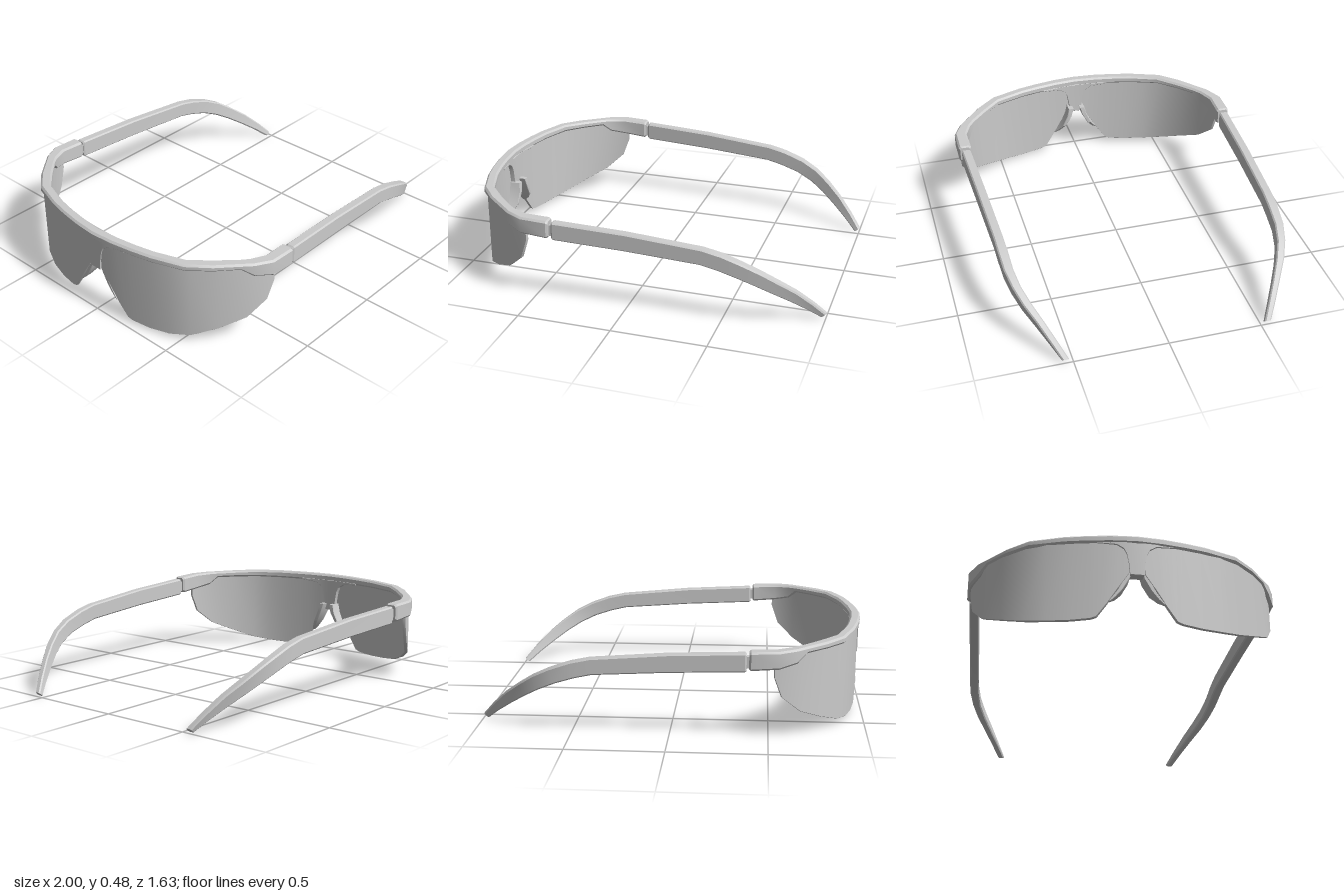
import * as THREE from 'three';
import { toCreasedNormals } from 'three/addons/utils/BufferGeometryUtils.js';

const grey = new THREE.MeshStandardMaterial({ color: 0xcccccc });

// Skin a list of equal-length closed rings and cap both ends, facing outwards.
function loft(name, rings, crease = 0.5) {
  const tris = [];
  const n = rings[0].length;
  for (let i = 0; i < rings.length - 1; i++) {
    const a = rings[i], b = rings[i + 1];
    for (let j = 0; j < n; j++) {
      const k = (j + 1) % n;
      tris.push([a[j], a[k], b[k]], [a[j], b[k], b[j]]);
    }
  }
  const cap = (ring, flip) => {
    const c = [0, 1, 2].map(d => ring.reduce((s, p) => s + p[d], 0) / n);
    ring.forEach((p, j) => {
      const q = ring[(j + 1) % n];
      tris.push(flip ? [c, q, p] : [c, p, q]);
    });
  };
  cap(rings[0], true);
  cap(rings[rings.length - 1], false);

  // Signed volume decides whether the winding must be reversed.
  const v = p => new THREE.Vector3(...p);
  const volume = tris.reduce((s, [a, b, c]) => s + v(a).dot(v(b).cross(v(c))), 0);
  if (volume < 0) tris.forEach(t => t.reverse());
  const geo = new THREE.BufferGeometry();
  geo.setAttribute('position', new THREE.Float32BufferAttribute(tris.flat(2), 3));
  const mesh = new THREE.Mesh(toCreasedNormals(geo, crease), grey);
  mesh.name = name;
  return mesh;
}

// Four corners in order, each cut back by a small bevel.
function bevelled(corners, cut) {
  const v = corners.map(c => new THREE.Vector3(...c));
  return v.flatMap((p, i) => [v[(i + 3) % 4], v[(i + 1) % 4]].map(q => {
    const d = q.clone().sub(p);
    return p.clone().addScaledVector(d, Math.min(0.45, cut / d.length())).toArray();
  }));
}

// Upright section between an outer and an inner plan point.
const upright = (xo, zo, xi, zi, top, bottom, cut) =>
  bevelled([[xo, top, zo], [xo, bottom, zo], [xi, bottom, zi], [xi, top, zi]], cut);

const mirrorStations = (list, flip) => [...list.slice(1).reverse().map(flip), ...list];

export function createModel() {
  const model = new THREE.Group();
  model.name = 'wraparoundGlasses';

  // Brow frame: outer x, z, inner x, z, top, bottom
  const brow = [
    [-1, 0, -0.945, 0, 0.48, 0.437],
    [-0.99, 0.13, -0.935, 0.125, 0.48, 0.437],
    [-0.97, 0.25, -0.917, 0.24, 0.479, 0.437],
    [-0.945, 0.36, -0.895, 0.34, 0.478, 0.437],
    [-0.885, 0.53, -0.838, 0.5, 0.475, 0.436],
    [-0.795, 0.635, -0.75, 0.595, 0.471, 0.435],
    [-0.69, 0.725, -0.66, 0.68, 0.467, 0.432],
    [-0.64, 0.768, -0.62, 0.71, 0.465, 0.39],
    [-0.55, 0.813, -0.54, 0.745, 0.461, 0.37],
    [-0.41, 0.813, -0.41, 0.742, 0.456, 0.36],
    [-0.4, 0.806, -0.4, 0.749, 0.45, 0.366],
  ];
  const browAll = mirrorStations(brow, ([a, b, c, d, t, u]) => [a, -b, c, -d, t, u]);
  model.add(loft('browFrame', browAll.map(s => upright(...s, 0.01))));

  // Bridge flaring down from the brow: z, bottom
  const bridge = [
    [0, 0.26], [0.035, 0.26], [0.04, 0.32], [0.05, 0.375],
    [0.065, 0.405], [0.1, 0.427], [0.2, 0.437],
  ];
  model.add(loft('bridge', mirrorStations(bridge, ([z, b]) => [-z, b]).map(([z, b]) => {
    const bend = 0.5 * z * z;
    return upright(-0.992 + bend, z, -0.942 + bend, z, 0.448, b, 0.003);
  })));

  // Lens: x, z, bottom, top
  const lens = [
    [-0.985, 0.04, 0.27, 0.445],
    [-0.981, 0.1, 0.18, 0.445],
    [-0.976, 0.15, 0.1, 0.445],
    [-0.968, 0.2, 0.03, 0.445],
    [-0.963, 0.23, 0.02, 0.445],
    [-0.942, 0.33, 0.013, 0.445],
    [-0.91, 0.44, 0.018, 0.445],
    [-0.862, 0.54, 0.034, 0.445],
    [-0.768, 0.647, 0.08, 0.445],
    [-0.66, 0.738, 0.135, 0.44],
    [-0.565, 0.785, 0.22, 0.4],
    [-0.527, 0.797, 0.325, 0.385],
  ];

  // Nose pad: inner z, outer z, y, back x
  const pad = [
    [0.02, 0.05, 0.3, -0.905],
    [0.035, 0.062, 0.25, -0.9],
    [0.07, 0.092, 0.185, -0.905],
    [0.105, 0.122, 0.14, -0.935],
    [0.13, 0.14, 0.115, -0.962],
  ];

  // Temple arm: top x, y, bottom x, y, outer z, inner z
  const arm = [
    [-0.388, 0.44, -0.388, 0.355, 0.795, 0.755],
    [-0.38, 0.446, -0.38, 0.35, 0.8, 0.75],
    [0, 0.43, 0, 0.335, 0.785, 0.735],
    [0.4, 0.396, 0.39, 0.31, 0.768, 0.718],
    [0.5, 0.374, 0.48, 0.29, 0.765, 0.713],
    [0.61, 0.335, 0.58, 0.258, 0.757, 0.708],
    [0.7, 0.29, 0.67, 0.217, 0.735, 0.69],
    [0.78, 0.235, 0.75, 0.17, 0.7, 0.655],
    [0.86, 0.172, 0.83, 0.115, 0.65, 0.61],
    [0.94, 0.092, 0.912, 0.054, 0.598, 0.56],
    [1, 0.022, 0.975, 0, 0.555, 0.52],
  ];

  for (const [side, s] of [['Left', 1], ['Right', -1]]) {
    model.add(loft('lens' + side, lens.map(([x, z, bottom, top]) => {
      const inward = new THREE.Vector2(-0.3 - x, -z).normalize().multiplyScalar(0.018);
      return upright(x, s * z, x + inward.x, s * (z + inward.y), top, bottom, 0.002);
    }), 0.6));

    model.add(loft('nosePad' + side, pad.map(([zi, zo, y, back]) => bevelled([
      [-0.98, y, s * zi], [-0.98, y, s * zo], [back, y, s * zo], [back, y, s * zi],
    ], 0.003))));

    model.add(loft('templeArm' + side, arm.map(([xt, yt, xb, yb, zo, zi]) => bevelled([
      [xt, yt, s * zo], [xb, yb, s * zo], [xb, yb, s * zi], [xt, yt, s * zi],
    ], 0.007))));

    // Hinge pin filling the joint between frame and arm
    const hinge = new THREE.Mesh(new THREE.BoxGeometry(0.04, 0.06, 0.035), grey);
    hinge.name = 'hinge' + side;
    hinge.position.set(-0.395, 0.4, s * 0.776);
    model.add(hinge);
  }
  return model;
}
